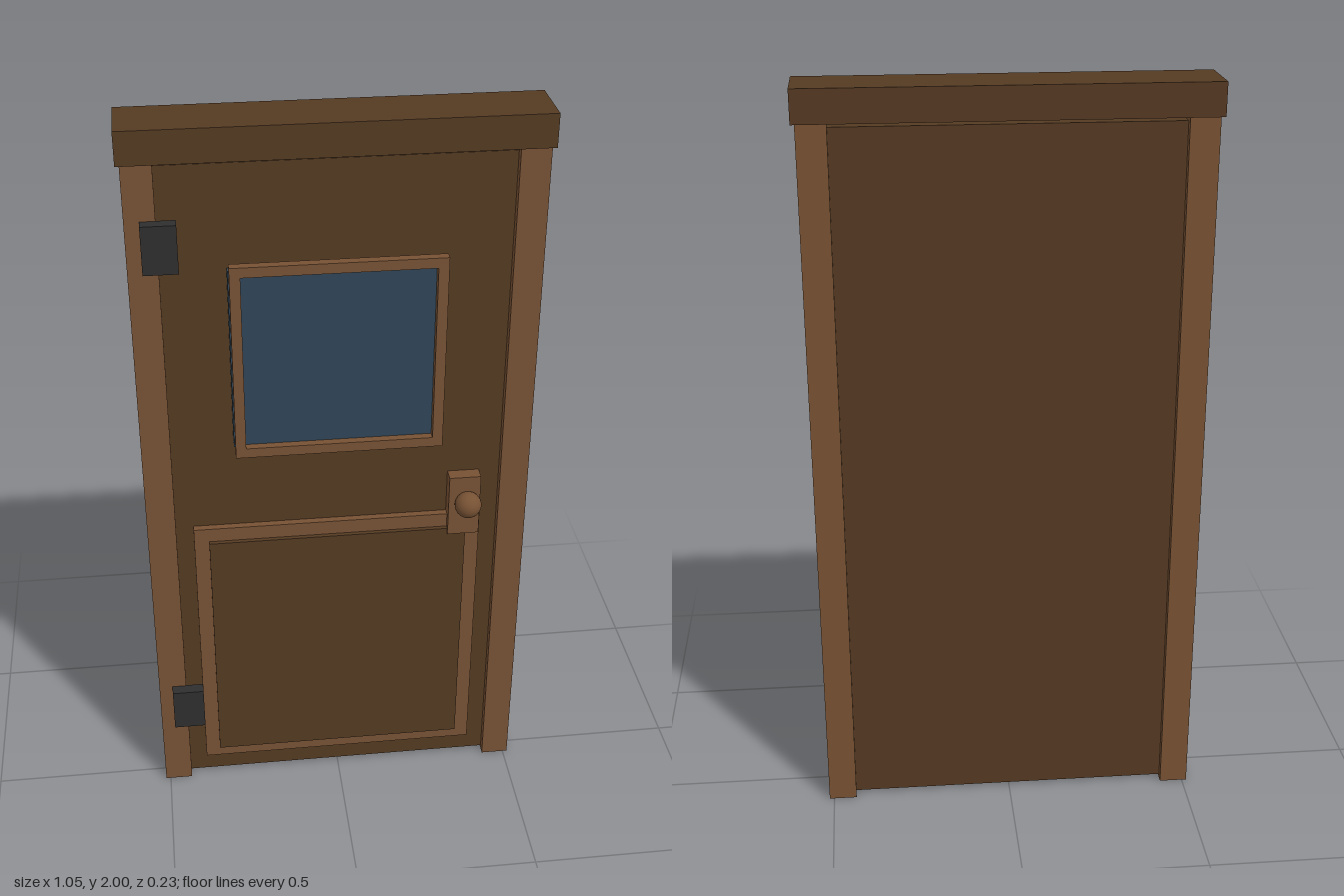
import * as THREE from 'three';

const flat = (name, color) => {
  const m = new THREE.MeshStandardMaterial({ color });
  m.name = name;
  return m;
};

export function createModel() {
  const darkWood = flat('darkWood', 0x543a22);
  const lightWood = flat('lightWood', 0x775234);
  const glass = flat('glass', 0x2f4557);
  const iron = flat('iron', 0x2e2e2e);

  const model = new THREE.Group();
  model.name = 'door';

  // Box given by its extents along each axis
  const box = (name, mat, [x0, x1], [y0, y1], [z0, z1], parent = model) => {
    const mesh = new THREE.Mesh(new THREE.BoxGeometry(x1 - x0, y1 - y0, z1 - z0), mat);
    mesh.position.set((x0 + x1) / 2, (y0 + y1) / 2, (z0 + z1) / 2);
    mesh.name = name;
    parent.add(mesh);
    return mesh;
  };

  // Rectangular trim made of four bars
  const trim = (name, mat, [x0, x1], [y0, y1], z, w) => {
    const g = new THREE.Group();
    g.name = name;
    box('bottomBar', mat, [x0, x1], [y0, y0 + w], z, g);
    box('topBar', mat, [x0, x1], [y1 - w, y1], z, g);
    box('rightBar', mat, [x0, x0 + w], [y0 + w, y1 - w], z, g);
    box('leftBar', mat, [x1 - w, x1], [y0 + w, y1 - w], z, g);
    model.add(g);
  };

  // Door case
  box('lintel', darkWood, [-0.523, 0.523], [1.915, 2], [-0.115, 0.051]);
  box('leftJamb', lightWood, [0.437, 0.513], [0, 1.915], [-0.108, 0.044]);
  box('rightJamb', lightWood, [-0.513, -0.437], [0, 1.915], [-0.108, 0.044]);

  // Door leaf
  box('doorLeaf', darkWood, [-0.437, 0.437], [0.01, 1.903], [-0.088, 0.022]);

  // Window: pane with a raised frame in front
  box('windowPane', glass, [-0.273, 0.273], [1.14, 1.633], [0.02, 0.052]);
  trim('windowFrame', lightWood, [-0.27, 0.27], [1.118, 1.655], [0.049, 0.074], 0.027);

  // Lower raised panel and its border
  trim('panelBorder', lightWood, [-0.39, 0.387], [0.075, 0.88], [0.02, 0.042], 0.04);
  box('lowerPanel', darkWood, [-0.35, 0.347], [0.112, 0.84], [0.02, 0.054]);

  // Hinges
  for (const [name, y] of [['lowerHinge', 0.285], ['upperHinge', 1.71]])
    box(name, iron, [-0.476, -0.389], [y - 0.063, y + 0.063], [0.042, 0.075]);

  // Knob on its back plate
  box('knobPlate', lightWood, [0.297, 0.382], [0.825, 1.005], [0.022, 0.06]);
  const knob = new THREE.Mesh(new THREE.SphereGeometry(0.036, 24, 16), lightWood);
  knob.position.set(0.346, 0.93, 0.079);
  knob.name = 'knob';
  model.add(knob);

  return model;
}
